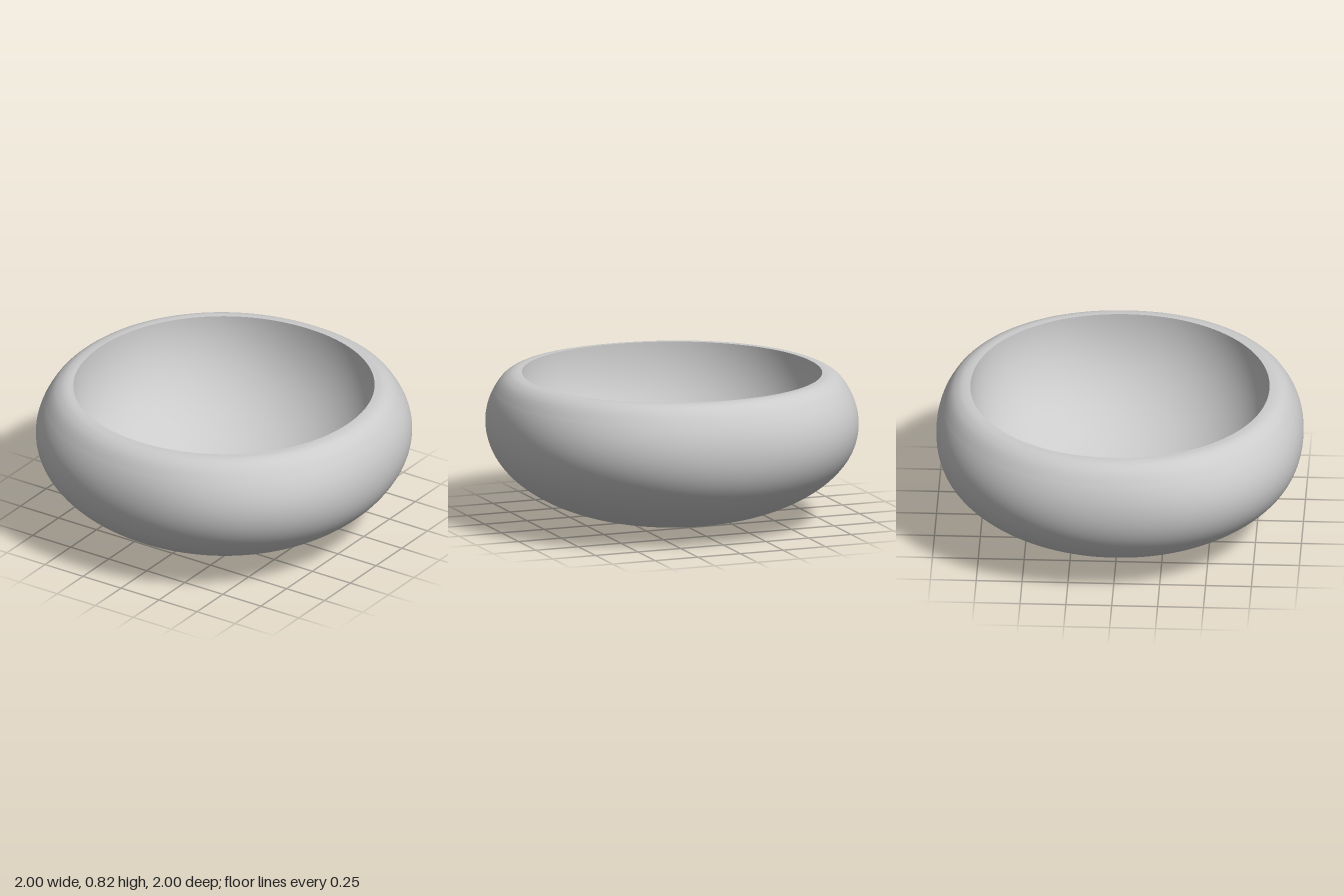
import * as THREE from 'three';
import { mergeVertices } from 'three/addons/utils/BufferGeometryUtils.js';

const RIM_Y = 0.816;

// How far a soft cube swells beyond a unit ball in the given direction
function swell(x, y, z) {
  const u = 1 - (x ** 4 + y ** 4 + z ** 4) / (x * x + y * y + z * z) ** 2;
  return 1 + u * (0.074 - 0.04 * u);
}

// Turns a profile given for a ball, swells it towards a soft cube,
// then scales it and lifts its centre to the given height.
function softCubeSurface(points, radius, halfHeight, centreY, name, material) {
  let geometry = new THREE.LatheGeometry(points, 128);
  const pos = geometry.attributes.position;
  for (let i = 0; i < pos.count; i++) {
    const x = pos.getX(i), y = pos.getY(i), z = pos.getZ(i);
    const k = swell(x, y, z);
    // Everything above the rim plane is levelled off
    const height = Math.min(y * k * halfHeight + centreY, RIM_Y);
    pos.setXYZ(i, x * k * radius, height, z * k * radius);
  }
  // Weld the seam so the shading runs smoothly all the way round
  geometry.deleteAttribute('uv');
  geometry.deleteAttribute('normal');
  geometry = mergeVertices(geometry, 1e-5);
  geometry.computeVertexNormals();
  const mesh = new THREE.Mesh(geometry, material);
  mesh.name = name;
  return mesh;
}

// Points along a unit ball's outline, from its lowest point up to an angle
function ballArc(endAngle, count) {
  return Array.from({ length: count + 1 }, (_, i) => {
    const a = -Math.PI / 2 + (endAngle + Math.PI / 2) * (i / count);
    return new THREE.Vector2(Math.max(Math.cos(a), 0), Math.sin(a));
  });
}

export function createModel() {
  const model = new THREE.Group();
  model.name = 'bowl';
  const material = new THREE.MeshStandardMaterial({ color: 0xcccccc, side: THREE.DoubleSide });

  // Outside: a squashed ball up to the shoulder, then a soft roll onto the flat rim
  const shoulder = new THREE.SplineCurve([
    [0.955, 0.297], [0.925, 0.38], [0.895, 0.44], [0.86, 0.48], [0.83, 0.495], [0.796, 0.5],
  ].map(([r, y]) => new THREE.Vector2(r, y))).getPoints(24);
  model.add(softCubeSurface([...ballArc(0.3, 56), ...shoulder.slice(1)],
    1, 0.54, 0.54, 'outerShell', material));

  // Inside: half a deep ball hollowed straight down from the crisp rim edge
  model.add(softCubeSurface(ballArc(0, 56).reverse(),
    0.815, 0.68, RIM_Y, 'innerCavity', material));

  return model;
}
